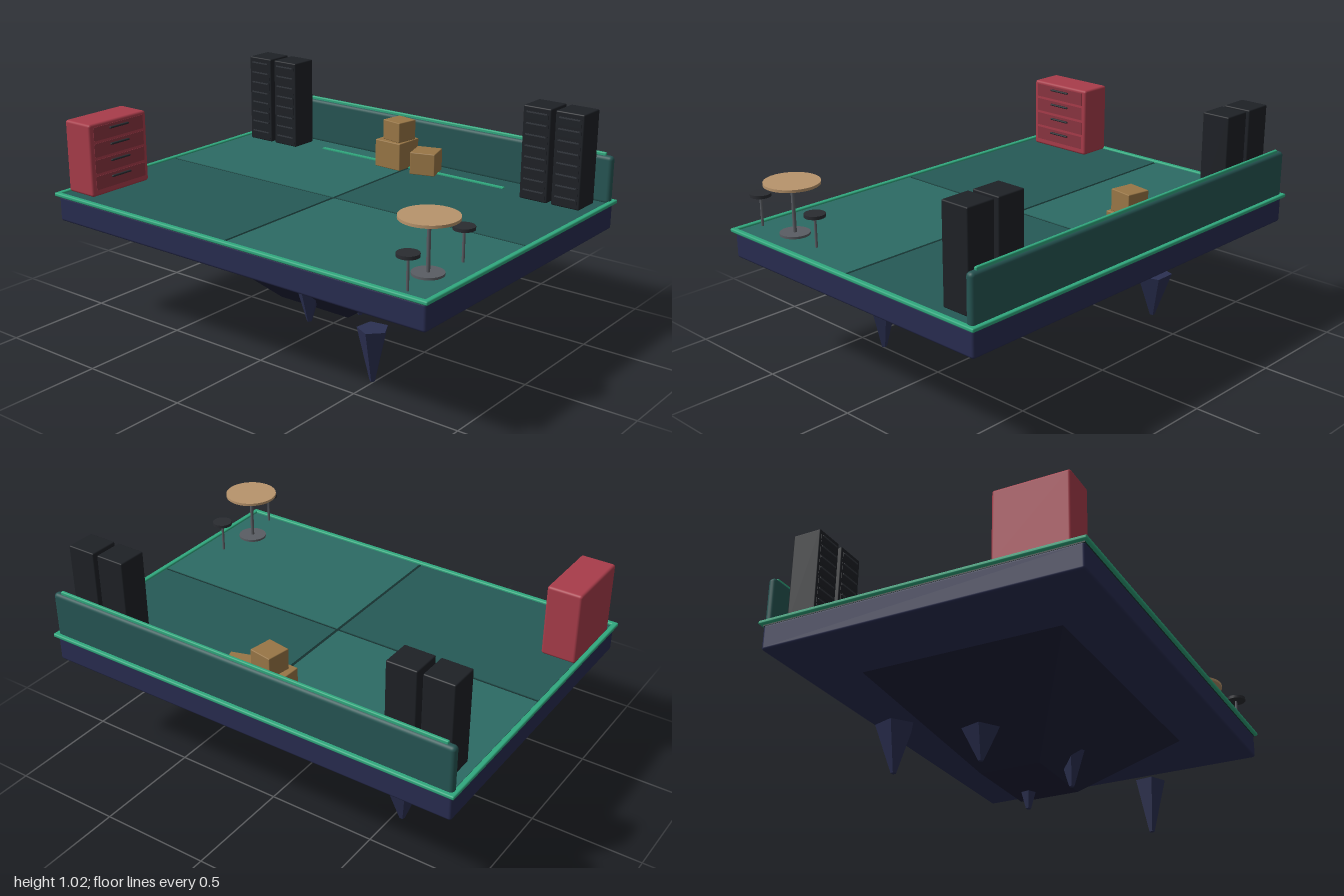
import * as THREE from 'three';
import { RoundedBoxGeometry } from 'three/addons/geometries/RoundedBoxGeometry.js';

const mat = (color, flatShading = false) => {
  const m = new THREE.MeshStandardMaterial({ flatShading });
  m.color.set(color);
  return m;
};

const M = {
  slab: mat(0x282c50), rock: mat(0x1c1e36, true), spike: mat(0x2b3052, true),
  seam: mat(0x17302f), tileLight: mat(0x2c6b64), tileDark: mat(0x265a56),
  trim: mat(0x30a87e), wall: mat(0x265553), rack: mat(0x1e2126), slot: mat(0x33373d),
  card: mat(0x987646), red: mat(0xa83c4a), drawer: mat(0x8a3440),
  dark: mat(0x2a2c31), metal: mat(0x5a5d63), wood: mat(0xb8946c),
};

function add(parent, name, geometry, material, x = 0, y = 0, z = 0) {
  const mesh = new THREE.Mesh(geometry, material);
  mesh.name = name;
  mesh.position.set(x, y, z);
  parent.add(mesh);
  return mesh;
}

function group(parent, name, x, y, z) {
  const g = new THREE.Group();
  g.name = name;
  g.position.set(x, y, z);
  parent.add(g);
  return g;
}

const box = (w, h, d) => new THREE.BoxGeometry(w, h, d);
const soft = (w, h, d, r = 0.01) => new RoundedBoxGeometry(w, h, d, 3, r);
const disc = (r, h, n = 32) => new THREE.CylinderGeometry(r, r, h, n);

const FLOOR = 0.6;

function addBase(root) {
  add(root, 'slab', soft(1.97, 0.115, 1.43, 0.012), M.slab, 0, 0.5325, 0);
  add(root, 'floorSeams', box(1.97, 0.012, 1.43), M.seam, 0, 0.59, 0);

  // Tapered four-sided underside
  const rock = new THREE.CylinderGeometry(0.64 * Math.SQRT2, 0.19 * Math.SQRT2, 0.355, 4);
  rock.rotateY(Math.PI / 4).scale(1, 1, 0.465 / 0.64);
  add(root, 'underside', rock, M.rock, 0, 0.3025, 0);

  // Hanging spikes: x, z, top radius, tip height
  [
    [-0.555, -0.335, 0.084, 0.03], [-0.365, -0.04, 0.084, 0.1], [0.015, 0.19, 0.06, 0.08],
    [0.105, -0.06, 0.065, 0.052], [0.49, 0.36, 0.068, 0],
  ].forEach(([x, z, r, tip], i) => {
    const h = 0.237 - tip;
    const spike = add(root, 'spike', new THREE.CylinderGeometry(r, 0.012, h, 5), M.spike, x, tip + h / 2, z);
    spike.rotation.y = i * 1.3;
  });

  // Floor quadrants
  for (const sx of [-1, 1]) for (const sz of [-1, 1]) {
    add(root, 'floorTile', box(0.967, 0.012, 0.695), sx === sz ? M.tileLight : M.tileDark,
      sx * 0.49, 0.594, sz * 0.354);
  }

  // Edge trim
  for (const s of [-1, 1]) {
    add(root, 'sideTrim', soft(0.024, 0.017, 1.46, 0.006), M.trim, s * 0.988, 0.5985, 0);
    add(root, 'endTrim', soft(2, 0.017, 0.024, 0.006), M.trim, 0, 0.5985, s * 0.718);
  }
  add(root, 'floorLight', box(1.035, 0.006, 0.02), M.trim, 0, 0.602, -0.575);

  // Rear wall with a bright cap
  add(root, 'rearWall', soft(1.97, 0.215, 0.038, 0.017), M.wall, 0, 0.7, -0.694);
  add(root, 'wallCap', soft(1.9, 0.02, 0.015, 0.005), M.trim, 0, 0.81, -0.694);
}

function addRack(root, x) {
  const rack = group(root, 'rack', x, FLOOR, -0.572);
  add(rack, 'rackBody', soft(0.136, 0.42, 0.134, 0.006), M.rack, 0, 0.21, 0);
  for (let i = 0; i < 8; i++) {
    const y = 0.035 + i * 0.05;
    add(rack, 'rackUnit', box(0.115, 0.036, 0.004), M.rack, 0, y - 0.005, 0.067);
    add(rack, 'rackSlot', box(0.1, 0.006, 0.006), M.slot, 0, y + 0.009, 0.069);
  }
}

function addCabinet(root) {
  const cab = group(root, 'drawerCabinet', -0.9, FLOOR, 0.492);
  add(cab, 'cabinetBody', soft(0.158, 0.328, 0.335, 0.012), M.red, 0, 0.164, 0);
  for (let i = 0; i < 4; i++) {
    const y = 0.06 + i * 0.074;
    add(cab, 'drawerFront', box(0.006, 0.062, 0.29), M.drawer, 0.078, y, 0);
    add(cab, 'drawerHandle', soft(0.014, 0.009, 0.11, 0.004), M.dark, 0.083, y + 0.014, 0);
  }
}

function addCrate(root, x, y, z, w, h, turn) {
  add(root, 'crate', soft(w, h, w, 0.004), M.card, x, y + h / 2, z).rotation.y = turn;
}

function addTable(root) {
  const table = group(root, 'table', 0.84, FLOOR, 0.492);
  add(table, 'tableTop', disc(0.12, 0.012, 40), M.wood, 0, 0.228, 0);
  add(table, 'tablePole', disc(0.008, 0.222, 12), M.metal, 0, 0.111, 0);
  add(table, 'tableBase', disc(0.065, 0.01), M.metal, 0, 0.005, 0);
  for (const z of [0.305, 0.672]) {
    const stool = group(root, 'stool', 0.874, FLOOR, z);
    add(stool, 'stoolSeat', disc(0.045, 0.014, 24), M.dark, 0, 0.141, 0);
    add(stool, 'stoolLeg', disc(0.006, 0.136, 10), M.metal, 0, 0.068, 0);
  }
}

export function createModel() {
  const root = new THREE.Group();
  root.name = 'floatingPlatform';
  addBase(root);
  for (const x of [-0.866, -0.708, 0.706, 0.863]) addRack(root, x);
  addCabinet(root);
  addCrate(root, -0.072, FLOOR, -0.572, 0.145, 0.13, -0.04);
  addCrate(root, -0.06, 0.73, -0.572, 0.108, 0.095, -0.17);
  addCrate(root, 0.1, FLOOR, -0.565, 0.12, 0.105, 0.3);
  addTable(root);
  return root;
}
